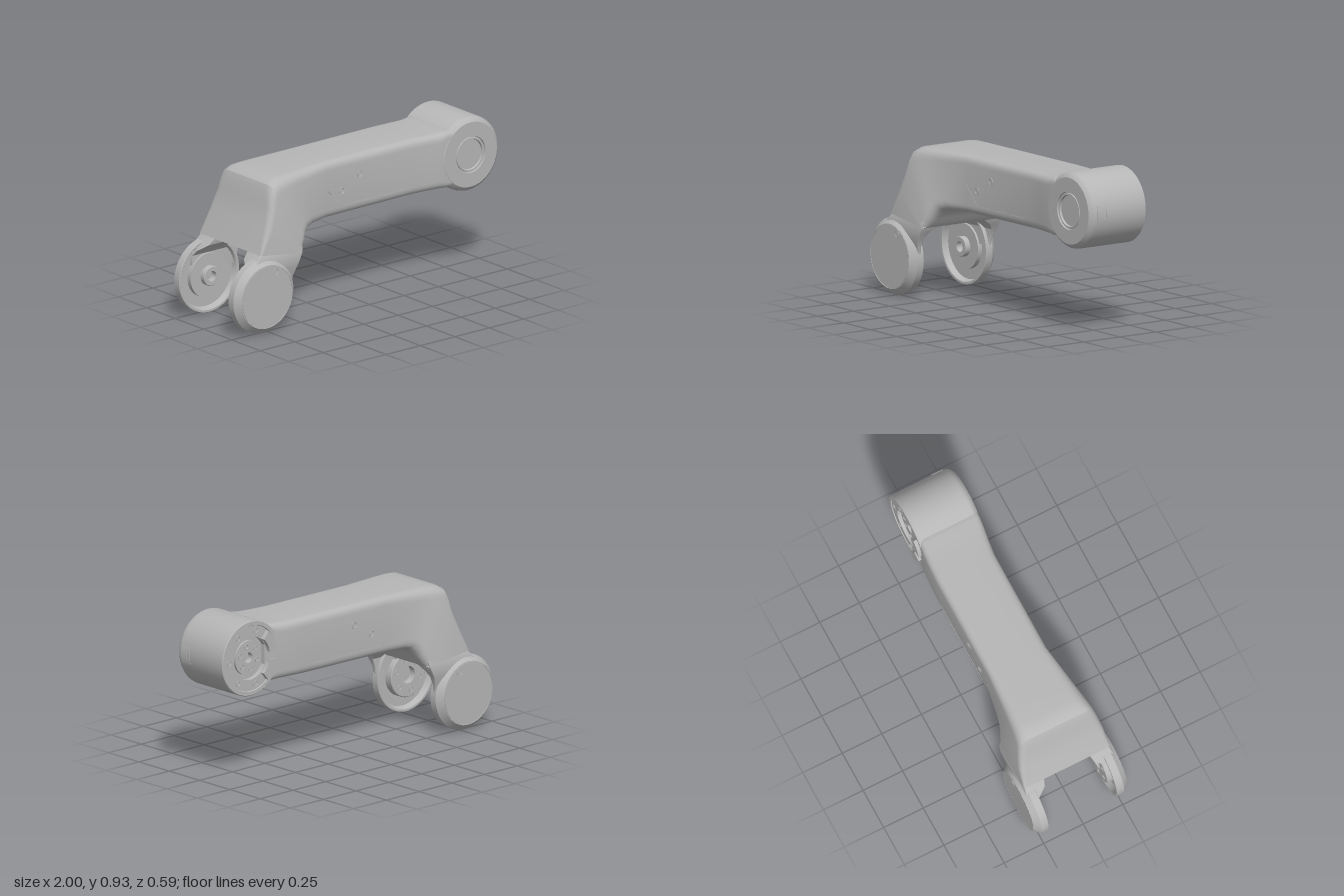
import * as THREE from 'three';
import { toCreasedNormals } from 'three/addons/utils/BufferGeometryUtils.js';

const grey = new THREE.MeshStandardMaterial({ color: 0xb6b6b6 });
grey.name = 'satin grey';

const DRUM = [0.779, 0.708], FORK = [-0.78, 0.219];

export function createModel() {
  const root = new THREE.Group();
  root.name = 'robotArmLink';

  // Creasing is done at 100x so that fine details keep their own normals
  const add = (name, geo, x = 0, y = 0, z = 0, crease = 0.55) => {
    const creased = toCreasedNormals(geo.scale(100, 100, 100), crease).scale(0.01, 0.01, 0.01);
    const m = new THREE.Mesh(creased, grey);
    m.name = name;
    m.position.set(x, y, z);
    root.add(m);
    return m;
  };

  // Lathe turned so its axis points along +z (dir 1) or -z (dir -1)
  const turned = (pts, dir, seg = 64) =>
    new THREE.LatheGeometry(pts.map(p => new THREE.Vector2(p[0], p[1])), seg).rotateX(dir * Math.PI / 2);

  // Solid through a row of equal-length rings, with fan caps
  function loft(rings) {
    const n = rings[0].length, pos = [], idx = [];
    rings.forEach(r => r.forEach(p => pos.push(p.x, p.y, p.z)));
    for (let i = 0; i < rings.length - 1; i++)
      for (let j = 0; j < n; j++) {
        const a = i * n + j, b = i * n + (j + 1) % n;
        idx.push(a, b, a + n, b, b + n, a + n);
      }
    const last = (rings.length - 1) * n;
    for (let j = 1; j < n - 1; j++) idx.push(0, j + 1, j, last, last + j, last + j + 1);
    // Turn the faces outward if the signed volume is negative
    let vol = 0;
    const at = k => new THREE.Vector3().fromArray(pos, k * 3);
    for (let i = 0; i < idx.length; i += 3) vol += at(idx[i]).dot(at(idx[i + 1]).cross(at(idx[i + 2])));
    if (vol < 0) for (let i = 0; i < idx.length; i += 3) [idx[i], idx[i + 1]] = [idx[i + 1], idx[i]];
    const g = new THREE.BufferGeometry();
    g.setAttribute('position', new THREE.Float32BufferAttribute(pos, 3));
    g.setIndex(idx);
    return g;
  }

  // Ring from four corners, each rounded by radius r
  function roundedRing(c, r, steps = 6) {
    const out = [];
    c.forEach((p, i) => {
      const toward = q => q.clone().sub(p).setLength(r).add(p);
      const curve = new THREE.QuadraticBezierCurve3(toward(c[(i + 3) % 4]), p, toward(c[(i + 1) % 4]));
      out.push(...curve.getPoints(steps));
    });
    return out;
  }

  // Ring-sector plate around the z axis, angles in degrees
  function sector(r0, r1, a0, a1, depth) {
    const s = new THREE.Shape(), d = Math.PI / 180;
    s.absarc(0, 0, r1, a0 * d, a1 * d, false);
    s.absarc(0, 0, r0, a1 * d, a0 * d, true);
    return new THREE.ExtrudeGeometry(s, { depth, bevelEnabled: false, curveSegments: 16 });
  }

  const screw = (name, x, y, z, dir, r = 0.022) => add(name, turned(
    [[0, -0.002], [r, -0.002], [r, 0.003], [r * 0.7, 0.003], [r * 0.6, 0.0005], [0, 0.0005]], dir, 20), x, y, z);

  // Beam and knee: top x,y | bottom x,y | front/back z at top | front/back z at bottom | corner radius
  const stations = [
    [0.668, 0.866, 0.668, 0.55, 0.194, -0.178, 0.194, -0.178, 0.03],
    [0.64, 0.874, 0.64, 0.542, 0.194, -0.181, 0.194, -0.181, 0.035],
    [0.61, 0.874, 0.61, 0.54, 0.193, -0.184, 0.193, -0.184, 0.042],
    [0.56, 0.869, 0.56, 0.541, 0.189, -0.19, 0.189, -0.19, 0.05],
    [0.48, 0.868, 0.48, 0.54, 0.177, -0.196, 0.177, -0.196, 0.05],
    [0.38, 0.868, 0.38, 0.538, 0.165, -0.2, 0.165, -0.2, 0.05],
    [-0.24, 0.865, -0.24, 0.533, 0.165, -0.2, 0.165, -0.2, 0.05],
    [-0.49, 0.862, -0.36, 0.533, 0.2, -0.216, 0.21, -0.226, 0.065],
    [-0.59, 0.86, -0.41, 0.524, 0.214, -0.224, 0.232, -0.24, 0.075],
    [-0.645, 0.853, -0.44, 0.5, 0.222, -0.23, 0.248, -0.252, 0.075],
    [-0.68, 0.83, -0.46, 0.47, 0.23, -0.235, 0.26, -0.261, 0.065],
    [-0.697, 0.79, -0.477, 0.445, 0.238, -0.241, 0.267, -0.267, 0.06],
    [-0.71, 0.72, -0.49, 0.427, 0.25, -0.25, 0.271, -0.271, 0.05],
    [-0.751, 0.60, -0.497, 0.42, 0.267, -0.267, 0.273, -0.273, 0.04],
    [-0.808, 0.46, -0.502, 0.417, 0.273, -0.273, 0.274, -0.274, 0.012],
  ];
  add('beamAndKnee', loft(stations.map(([xt, yt, xb, yb, ft, bt, fb, bb, r]) => roundedRing([
    new THREE.Vector3(xt, yt, ft), new THREE.Vector3(xt, yt, bt),
    new THREE.Vector3(xb, yb, bb), new THREE.Vector3(xb, yb, fb)], r))));

  // Fork legs: left x, right x, y, inner z, outer z
  const legRows = [
    [-0.78, -0.495, 0.49, 0.145, 0.25], [-0.81, -0.5, 0.45, 0.145, 0.268],
    [-0.838, -0.506, 0.42, 0.155, 0.275], [-0.875, -0.525, 0.38, 0.212, 0.277],
    [-0.89, -0.54, 0.35, 0.235, 0.274], [-0.89, -0.56, 0.30, 0.235, 0.262],
    [-0.88, -0.566, 0.25, 0.235, 0.25],
  ];
  // Outer face of both fork discs, from the cup to the cap groove
  const discOuter = [[0.13, 0.25], [0.19, 0.25], [0.2, 0.218], [0.203, 0.215], [0.215, 0.215],
    [0.218, 0.218], [0.218, 0.26], [0.185, 0.295], [0.182, 0.295], [0.182, 0.292], [0.179, 0.292],
    [0.179, 0.295], [0, 0.295]];
  const hubs = {
    front: [[0, 0.24], [0.05, 0.24], [0.05, 0.2], [0.126, 0.2], [0.13, 0.204]],
    rear: [[0, 0.23], [0.03, 0.23], [0.03, 0.19], [0.055, 0.19], [0.058, 0.194], [0.058, 0.222], [0.13, 0.222]],
  };
  for (const [side, s] of [['front', 1], ['rear', -1]]) {
    add(side + 'ForkLeg', loft(legRows.map(([xl, xr, y, zi, zo]) => roundedRing([
      new THREE.Vector3(xl, y, s * zi), new THREE.Vector3(xr, y, s * zi),
      new THREE.Vector3(xr, y, s * zo), new THREE.Vector3(xl, y, s * zo)], 0.007, 4))));
    add(side + 'ForkDisc', turned([...hubs[side], ...discOuter], s), FORK[0], FORK[1], 0, 0.4);
    screw(side + 'CapScrew', -0.715, 0.355, s * 0.294, s);
    screw(side + 'CoverScrewLow', -0.13, 0.675, s > 0 ? 0.165 : -0.2, s);
    screw(side + 'CoverScrewHigh', 0, 0.75, s > 0 ? 0.165 : -0.2, s);
  }
  for (let i = 0; i < 6; i++) {
    const a = i * Math.PI / 3 + 0.3;
    screw('forkHubBolt', FORK[0] + 0.09 * Math.cos(a), FORK[1] + 0.09 * Math.sin(a), 0.2, -1, 0.015);
    screw('drumHubBolt', DRUM[0] + 0.068 * Math.cos(a), DRUM[1] + 0.068 * Math.sin(a), -0.165, -1, 0.016);
  }
  add('forkHubTab', new THREE.BoxGeometry(0.1, 0.06, 0.035), -0.75, 0.325, 0.228);

  // Joint drum with a front ring groove and a recessed rear hub
  add('jointDrum', turned([[0, -0.13], [0.03, -0.13], [0.03, -0.165], [0.1, -0.165], [0.1, -0.15],
    [0.125, -0.15], [0.125, -0.18], [0.19, -0.18], [0.193, -0.185], [0.214, -0.185], [0.218, -0.181],
    [0.218, 0.155], [0.215, 0.17], [0.208, 0.181], [0.19, 0.195], [0.108, 0.195], [0.106, 0.186],
    [0.1, 0.186], [0.098, 0.192], [0.09, 0.192], [0.087, 0.18], [0, 0.18]], 1, 80), DRUM[0], DRUM[1], 0, 0.45);
  for (const a of [0, 55, -55, 105, -105])
    screw('drumRimScrew', DRUM[0] + 0.16 * Math.cos(a * Math.PI / 180), DRUM[1] + 0.16 * Math.sin(a * Math.PI / 180), -0.18, -1, 0.018);
  for (const [a0, a1] of [[130, 172], [190, 231]])
    add('rearConnectorBlock', sector(0.128, 0.183, a0, a1, 0.03), DRUM[0], DRUM[1], -0.204);

  // Socket surround on the drum's end: angle range and z range of each strip
  for (const [a0, a1, z0, z1] of [[-13, 14, 0.113, 0.152], [-13, 14, 0.083, 0.09], [-13, -5, 0.09, 0.113], [6, 14, 0.09, 0.113]])
    add('socketSurround', sector(0.212, 0.221, a0, a1, z1 - z0), DRUM[0], DRUM[1], z0);

  // Cover seams as hairline strips
  const seam = (name, pts, z) => pts.slice(1).forEach(([x, y], i) => {
    const [px, py] = pts[i];
    const m = add(name, new THREE.BoxGeometry(Math.hypot(x - px, y - py), 0.004, 0.003), (x + px) / 2, (y + py) / 2, z);
    m.rotation.z = Math.atan2(y - py, x - px);
  });
  seam('frontCoverSeam', [[-0.235, 0.70], [-0.13, 0.59], [0.33, 0.59]], 0.165);
  seam('rearCoverSeam', [[0.33, 0.73], [0.33, 0.59], [-0.17, 0.59], [-0.225, 0.64]], -0.2);

  return root;
}
